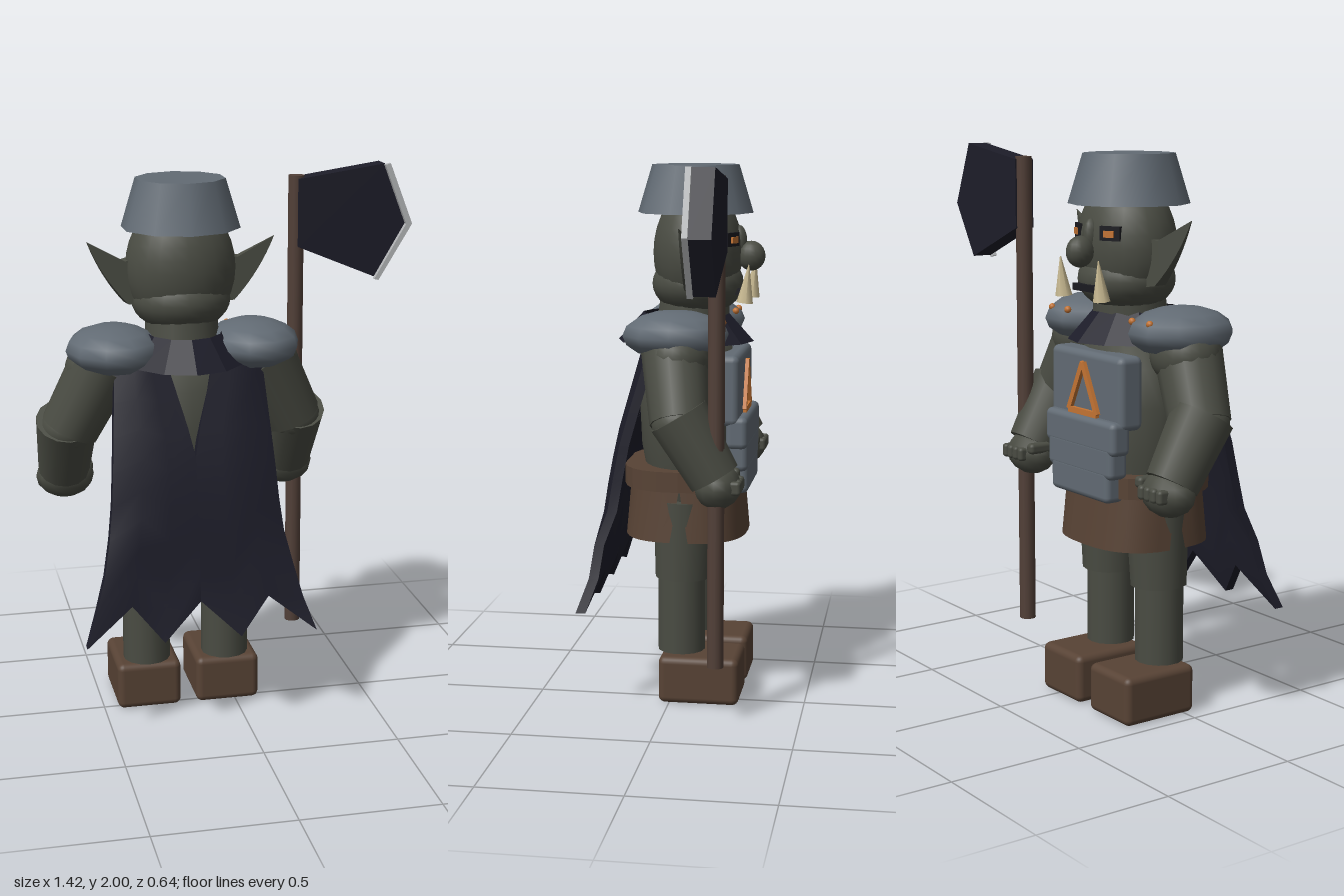
import * as THREE from 'three';
import { RoundedBoxGeometry } from 'three/addons/geometries/RoundedBoxGeometry.js';

const material = (name, color, side = THREE.FrontSide) => {
  const m = new THREE.MeshStandardMaterial({ color, side });
  m.name = name;
  return m;
};

// Faceted version of a geometry
const faceted = (g) => {
  const f = g.index ? g.toNonIndexed() : g;
  f.computeVertexNormals();
  return f;
};

// Move every vertex by a rule
const reshape = (g, rule) => {
  const p = g.attributes.position, v = new THREE.Vector3();
  for (let i = 0; i < p.count; i++) {
    rule(v.fromBufferAttribute(p, i));
    p.setXYZ(i, v.x, v.y, v.z);
  }
  g.computeVertexNormals();
  return g;
};

// Piecewise linear lookup in [key, value] pairs with rising keys
const lookup = (table, k) => {
  for (let i = 1; i < table.length; i++) {
    const [a, va] = table[i - 1], [b, vb] = table[i];
    if (k <= b) return va + (vb - va) * (k - a) / (b - a);
  }
  return table[table.length - 1][1];
};

export function createModel() {
  const skin = material('skin', 0x4a4c43);
  const steel = material('steel', 0x626b74);
  const leather = material('leather', 0x584335, THREE.DoubleSide);
  const cloth = material('darkCloth', 0x1d1d29, THREE.DoubleSide);
  const wood = material('wood', 0x524038);
  const silver = material('bladeEdge', 0xb4b6b8);
  const orange = material('orange', 0xc47434);
  const bone = material('bone', 0xcabb93);
  const black = material('black', 0x1b1b20);

  const model = new THREE.Group();
  const body = new THREE.Group();
  body.name = 'body';
  body.position.x = -0.18;
  model.add(body);

  const add = (name, geo, mat, x = 0, y = 0, z = 0, parent = body) => {
    const m = new THREE.Mesh(geo, mat);
    m.name = name;
    m.position.set(x, y, z);
    parent.add(m);
    return m;
  };
  const ball = (name, mat, x, y, z, rx, ry, rz, w = 24, h = 16) =>
    add(name, new THREE.SphereGeometry(1, w, h).scale(rx, ry, rz), mat, x, y, z);
  const limb = (name, mat, from, to, r0, r1, sides = 14) => {
    const a = new THREE.Vector3(...from), b = new THREE.Vector3(...to);
    const d = b.clone().sub(a);
    const m = add(name, new THREE.CylinderGeometry(r1, r0, d.length(), sides), mat);
    m.position.copy(a).add(b).multiplyScalar(0.5);
    m.quaternion.setFromUnitVectors(new THREE.Vector3(0, 1, 0), d.normalize());
  };

  // Head, jaw and helmet
  ball('head', skin, 0, 1.665, -0.07, 0.2, 0.24, 0.165);
  ball('jaw', skin, 0, 1.55, -0.07, 0.18, 0.118, 0.17);
  ball('nose', skin, 0, 1.652, -0.268, 0.043, 0.055, 0.052, 16, 12);
  ball('noseBridge', skin, 0, 1.705, -0.222, 0.027, 0.06, 0.03, 12, 8);
  limb('neck', skin, [0, 1.28, -0.04], [0, 1.5, -0.06], 0.14, 0.13);
  add('helmet', new THREE.CylinderGeometry(0.162, 0.215, 0.175, 10), steel, 0, 1.897, -0.06);
  add('mouth', new THREE.BoxGeometry(0.14, 0.024, 0.04), black, 0, 1.525, -0.233);

  // Torso with a slightly barrelled profile
  const torsoProfile = [[0.8, 0.2], [0.95, 0.235], [1.12, 0.245], [1.25, 0.225], [1.36, 0.17], [1.38, 0]]
    .map(([y, r]) => new THREE.Vector2(r, y));
  add('torso', new THREE.LatheGeometry(torsoProfile, 24).scale(1, 1, 0.78), skin, 0, 0, -0.045);

  // Flared collar
  add('collar', faceted(new THREE.CylinderGeometry(0.16, 0.255, 0.105, 12, 1, true).scale(0.87, 1, 1)),
    cloth, 0, 1.388, -0.025);

  // Chest armour: one breastplate and three overlapping belly strips
  add('breastplate', new RoundedBoxGeometry(0.43, 0.26, 0.1, 2, 0.025), steel, 0, 1.175, -0.2);
  [[0.42, 1.02], [0.39, 0.935], [0.35, 0.85]].forEach(([w, y]) =>
    add('bellyPlate', new RoundedBoxGeometry(w, 0.12, 0.08, 2, 0.022), steel, 0, y, -0.241));

  // Plain triangular breastplate trim
  const corners = [[0, 1.265], [0.085, 1.09], [-0.085, 1.09]];
  corners.forEach(([x, y], i) => {
    const [u, v] = corners[(i + 1) % 3];
    const bar = add('triangleTrim', new THREE.BoxGeometry(0.021, Math.hypot(u - x, v - y), 0.02), orange,
      (x + u) / 2, (y + v) / 2, -0.254);
    bar.rotation.z = Math.atan2(v - y, u - x) - Math.PI / 2;
  });

  // Belt and the two skirt panels, rounded-square in plan
  const squared = (v, rx, rz, angle) => {
    const s = Math.sin(angle), c = Math.cos(angle);
    v.x = rx * Math.sign(s) * Math.abs(s) ** 0.75;
    v.z = rz * Math.sign(c) * Math.abs(c) ** 0.75;
  };
  add('belt', faceted(reshape(new THREE.CylinderGeometry(1, 1, 0.075, 24), (v) => {
    if (Math.hypot(v.x, v.z) > 0.5) squared(v, 0.265, 0.23, Math.atan2(v.x, v.z));
  })), leather, 0, 0.843, -0.034);
  for (const start of [-Math.PI / 2, Math.PI / 2]) {
    const mid = start + Math.PI / 2;
    add('skirtPanel', reshape(new THREE.CylinderGeometry(1, 1, 0.2, 16, 1, true, start, Math.PI), (v) => {
      const t = 0.5 - v.y / 0.2;
      const angle = Math.atan2(v.x, v.z) - mid;
      const off = Math.atan2(Math.sin(angle), Math.cos(angle));
      squared(v, 0.245 + 0.015 * t, 0.21 + 0.018 * t, mid + off * (1 - 0.05 * t));
    }), leather, 0, 0.715, -0.036);
  }
  add('hips', new THREE.CylinderGeometry(0.23, 0.2, 0.14, 20).scale(1, 1, 0.8), skin, 0, 0.77, -0.04);

  // Pointed ear outline, drawn from the root outwards
  const ear = new THREE.Shape();
  ear.moveTo(-0.06, -0.12);
  ear.lineTo(0.04, -0.105);
  ear.quadraticCurveTo(0.132, -0.005, 0.183, 0.124);
  ear.lineTo(0.05, 0.05);
  ear.lineTo(-0.06, 0.07);

  // Paired parts
  for (const s of [-1, 1]) {
    // Ears thin out towards the tip
    const earGeo = new THREE.ExtrudeGeometry(ear, { depth: 0.07, bevelEnabled: false, curveSegments: 8 });
    const earMesh = add('ear', reshape(earGeo, (v) => { v.z = (v.z - 0.035) * (1 - v.x / 0.19); }),
      skin, s * 0.16, 1.645, -0.08);
    earMesh.rotation.y = s > 0 ? -0.18 : Math.PI + 0.18;

    const socket = add('eyeSocket', new THREE.BoxGeometry(0.08, 0.05, 0.03), black, s * 0.092, 1.717, -0.2);
    const eye = add('eye', new THREE.BoxGeometry(0.04, 0.023, 0.008), orange, s * 0.097, 1.715, -0.217);
    for (const m of [socket, eye]) m.rotation.y = -0.42 * s;

    limb('tusk', bone, [s * 0.115, 1.49, -0.258], [s * 0.115, 1.628, -0.272], 0.031, 0.002, 7);

    // Shoulder guard with rivets
    ball('shoulderGuard', steel, s * 0.255, 1.385, -0.025, 0.172, 0.09, 0.195, 10, 8);
    for (const x of [0.195, 0.295]) ball('rivet', orange, s * x, 1.425, -0.188, 0.013, 0.013, 0.013, 8, 6);

    // Arm
    ball('shoulder', skin, s * 0.3, 1.31, -0.04, 0.13, 0.11, 0.12);
    limb('upperArm', skin, [s * 0.29, 1.34, -0.025], [s * 0.415, 1.09, -0.065], 0.12, 0.108);
    ball('elbow', skin, s * 0.42, 1.09, -0.065, 0.1, 0.09, 0.1);
    limb('forearm', skin, [s * 0.425, 1.12, -0.06], [s * 0.425, 0.9, -0.19], 0.112, 0.095);
    ball('hand', skin, s * 0.42, 0.87, -0.2, 0.108, 0.082, 0.085, 12, 8);
    for (let i = 0; i < 4; i++)
      add('knuckle', new RoundedBoxGeometry(0.03, 0.05, 0.05, 2, 0.012), skin,
        s * (0.374 + i * 0.034), 0.875, -0.265);
    add('thumb', new RoundedBoxGeometry(0.04, 0.04, 0.09, 2, 0.014), skin, s * 0.335, 0.9, -0.225);

    // Leg and boot
    limb('thigh', skin, [s * 0.15, 0.465, -0.035], [s * 0.145, 0.76, -0.04], 0.102, 0.115);
    limb('shin', skin, [s * 0.15, 0.185, -0.032], [s * 0.15, 0.5, -0.032], 0.088, 0.088);
    add('boot', new RoundedBoxGeometry(0.24, 0.178, 0.3, 3, 0.025), leather, s * 0.15, 0.091, -0.11);

    // Half of the cape: split at the neck, flared and jagged at the hem
    add('cape', reshape(new THREE.BoxGeometry(1, 1, 1, 3, 8, 1), (v) => {
      const col = Math.round((v.x + 0.5) * 3);
      const across = s > 0 ? col : 3 - col;
      const hem = across % 2 ? 0.38 : 0.51;
      const y = 1.34 + (hem - 1.34) * (0.5 - v.y);
      const outer = lookup([[0.38, 0.42], [0.55, 0.36], [0.78, 0.31], [1.34, 0.268]], y);
      const gap = 0.08 * Math.max(0, (y - 1.05) / 0.29);
      const z = lookup([[0.38, 0.3], [0.51, 0.255], [0.78, 0.225], [1, 0.185], [1.34, 0.085]], y);
      const side = across === 3 && y > 0.7 ? 0.03 : 0;
      v.set(s * (gap + (outer - gap) * across / 3), y, z - side + v.z * 0.036);
    }), cloth);
  }

  // Axe
  const axe = new THREE.Group();
  axe.name = 'axe';
  axe.position.set(0.28, 0, -0.2);
  model.add(axe);
  add('shaft', new THREE.CylinderGeometry(0.03, 0.03, 1.745, 12), wood, 0, 1.0875, 0, axe);
  const plate = (name, depth, mat, z, pts) => add(name, new THREE.ExtrudeGeometry(
    new THREE.Shape(pts.map(([x, y]) => new THREE.Vector2(x, y))), { depth, bevelEnabled: false }), mat, 0, 0, z, axe);
  plate('blade', 0.076, cloth, -0.036, [[0, 1.7], [0.3, 1.575], [0.418, 1.77], [0.325, 1.998], [0, 1.95]]);
  plate('cuttingEdge', 0.02, silver, 0.04,
    [[0.288, 1.572], [0.305, 1.568], [0.43, 1.775], [0.342, 2], [0.322, 1.995], [0.407, 1.775]]);

  return model;
}
